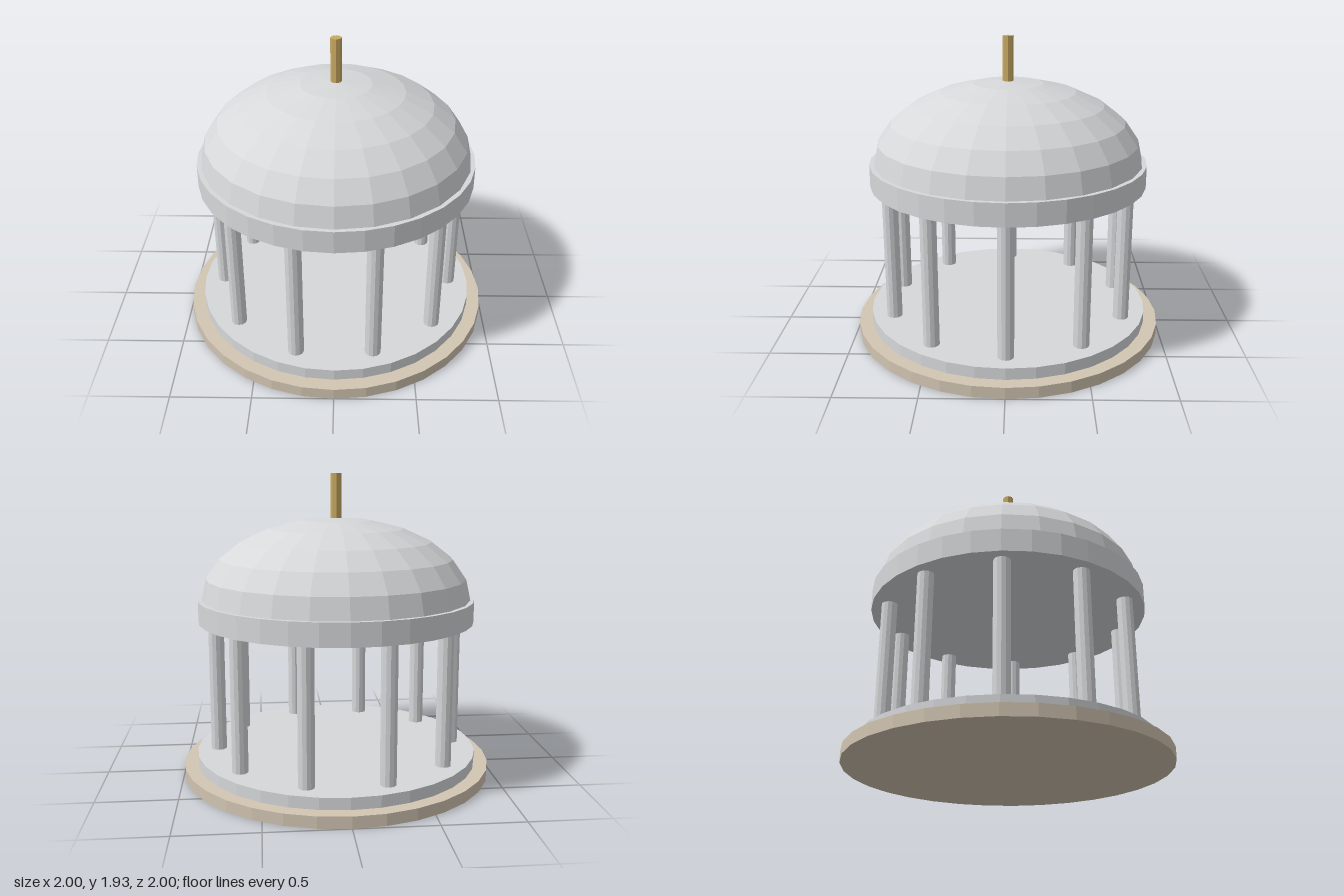
import * as THREE from 'three';

function material(name, color) {
  const m = new THREE.MeshStandardMaterial({ color, flatShading: true });
  m.name = name;
  return m;
}

export function createModel() {
  const group = new THREE.Group();
  group.name = 'rotunda';
  const marble = material('pale marble', 0xd6d8da);
  const stone = material('tan stone', 0xd2c5b2);
  const brass = material('brass', 0xc8ab62);

  // Upright drum between two heights
  function drum(name, radius, y0, y1, sides, mat, x = 0, z = 0) {
    const mesh = new THREE.Mesh(new THREE.CylinderGeometry(radius, radius, y1 - y0, sides), mat);
    mesh.position.set(x, (y0 + y1) / 2, z);
    mesh.name = name;
    group.add(mesh);
  }

  // Stepped floor
  drum('baseStep', 1, 0, 0.073, 32, stone);
  drum('floorStep', 0.913, 0.073, 0.147, 32, marble);

  // Ring of ten columns
  for (let i = 0; i < 10; i++) {
    const a = (i / 10) * Math.PI * 2;
    drum('column', 0.05, 0.147, 1.003, 12, marble, 0.775 * Math.cos(a), 0.775 * Math.sin(a));
  }

  // Entablature carrying the roof
  drum('entablature', 0.885, 1.003, 1.145, 32, marble);

  // Flattened half-sphere dome
  const domeGeometry = new THREE.SphereGeometry(0.86, 24, 6, 0, Math.PI * 2, 0, Math.PI / 2);
  domeGeometry.scale(1, 0.513 / 0.86, 1);
  const dome = new THREE.Mesh(domeGeometry, marble);
  dome.position.y = 1.143;
  dome.name = 'dome';
  group.add(dome);

  // Rod at the crown
  drum('finial', 0.035, 1.65, 1.933, 8, brass);

  return group;
}
